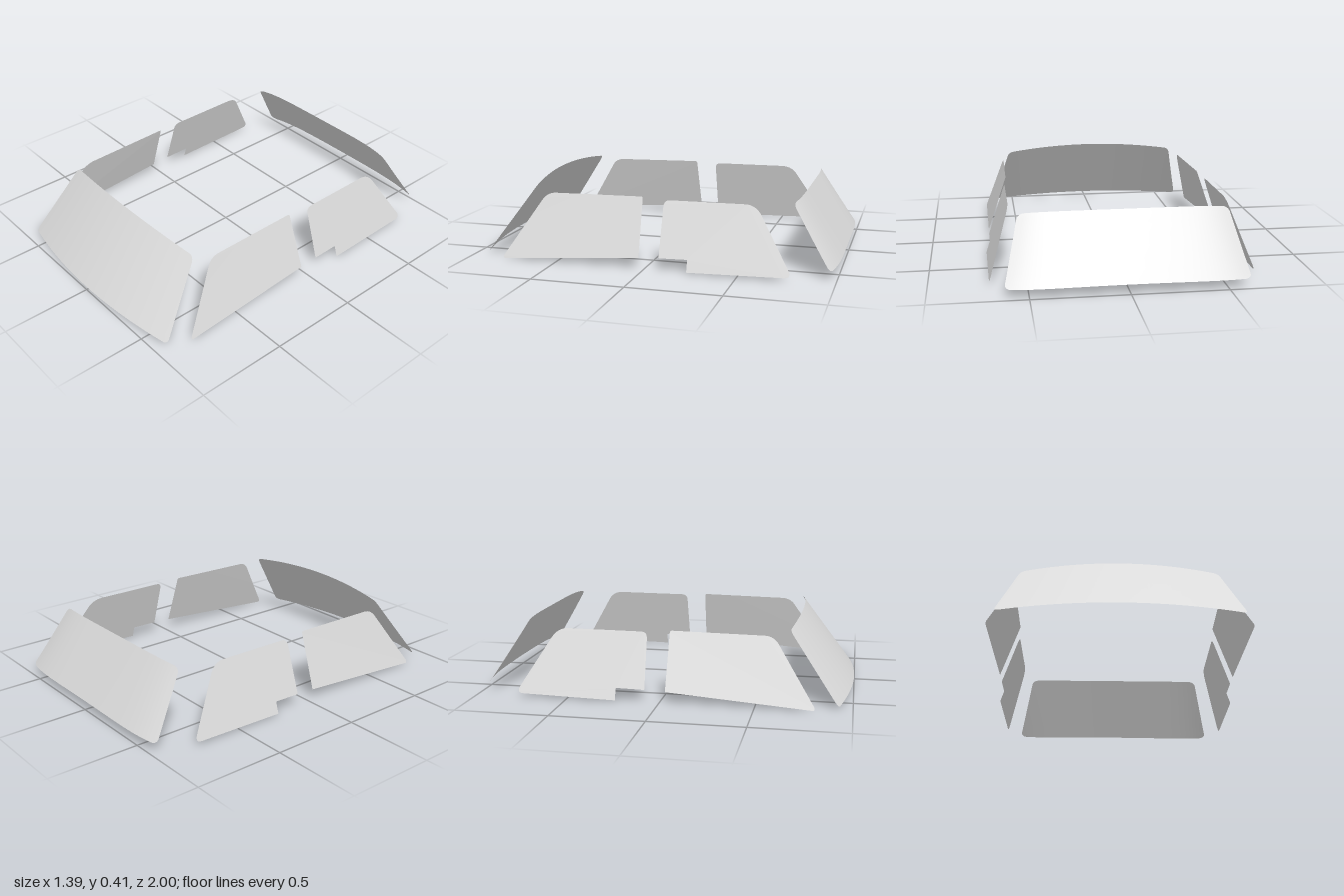
import * as THREE from 'three';

const glass = new THREE.MeshStandardMaterial({ color: 0xdcdcdc, side: THREE.DoubleSide });
glass.name = 'pale glass';

// Curved screen across the car: rows run up the glass, corners are rounded by narrowing the end rows.
// dir = 1 faces the front, -1 faces the back.
function screen(name, dir, p) {
  const rows = [0, 0.006, 0.02, 0.04, 0.07, 0.2, 0.35, 0.5, 0.65, 0.8, 0.93, 0.96, 0.98, 0.994, 1];
  const cols = 32, pos = [], idx = [];
  rows.forEach((v, j) => {
    const d = Math.min(v, 1 - v) / 0.07;
    const inset = d < 1 ? p.round * (1 - Math.sqrt(1 - (1 - d) ** 2)) : 0;
    const w = THREE.MathUtils.lerp(p.wBottom, p.wTop, v) - inset;
    for (let i = 0; i <= cols; i++) {
      const x = (i / cols * 2 - 1) * w;
      const t = Math.abs(x);
      const low = p.yBottom - p.sagBottom * (t / p.wBottom) ** 2;
      const high = p.yTop - p.sagTop * (t / p.wTop) ** p.power;
      const zLow = p.zBottom - p.bowBottom * (t / p.wBottom) ** p.power;
      const zHigh = p.zTop - p.bowTop * (t / p.wTop) ** p.power;
      pos.push(dir * x, THREE.MathUtils.lerp(low, high, v), dir * THREE.MathUtils.lerp(zLow, zHigh, v));
      if (i < cols && j < rows.length - 1) {
        const a = j * (cols + 1) + i, b = a + cols + 1;
        idx.push(a, a + 1, b + 1, a, b + 1, b);
      }
    }
  });
  const g = new THREE.BufferGeometry();
  g.setAttribute('position', new THREE.Float32BufferAttribute(pos, 3));
  g.setIndex(idx);
  g.computeVertexNormals();
  const mesh = new THREE.Mesh(g, glass);
  mesh.name = name;
  return mesh;
}

// Side pane from an outline of [z, y, corner radius], leaned inwards by xAt(z, y).
function pane(name, side, outline, xAt) {
  const pts = outline.map(([z, y]) => new THREE.Vector2(-side * z, y));
  const shape = new THREE.Shape();
  pts.forEach((p, i) => {
    const r = outline[i][2];
    const toward = q => p.clone().add(q.clone().sub(p).setLength(r));
    const a = toward(pts[(i + pts.length - 1) % pts.length]);
    const b = toward(pts[(i + 1) % pts.length]);
    if (i === 0) shape.moveTo(a.x, a.y);
    else shape.lineTo(a.x, a.y);
    if (r > 0) shape.quadraticCurveTo(p.x, p.y, b.x, b.y);
  });
  shape.closePath();
  const g = new THREE.ShapeGeometry(shape, 8);
  const pos = g.attributes.position;
  for (let i = 0; i < pos.count; i++) {
    const z = -side * pos.getX(i), y = pos.getY(i);
    pos.setXYZ(i, side * xAt(z, y), y, z);
  }
  g.computeVertexNormals();
  const mesh = new THREE.Mesh(g, glass);
  mesh.name = name;
  return mesh;
}

export function createModel() {
  const model = new THREE.Group();
  model.name = 'carWindows';

  model.add(screen('windshield', 1, {
    wBottom: 0.627, wTop: 0.525, round: 0.025, power: 2,
    yBottom: 0.027, sagBottom: 0.013, yTop: 0.42, sagTop: 0.034,
    zBottom: 1.0, bowBottom: 0.072, zTop: 0.705, bowTop: 0.04,
  }));
  model.add(screen('rearWindow', -1, {
    wBottom: 0.622, wTop: 0.54, round: 0.035, power: 5,
    yBottom: 0.058, sagBottom: 0.01, yTop: 0.385, sagTop: 0.012,
    zBottom: 1.0, bowBottom: 0.035, zTop: 0.786, bowTop: 0.025,
  }));

  const frontOutline = [
    [0.803, 0.005, 0], [0.81, 0.015, 0.008], [0.585, 0.362, 0.05],
    [0.037, 0.371, 0.012], [0.03, 0.064, 0],
  ];
  const rearOutline = [
    [-0.08, 0.07, 0.004], [-0.083, 0.362, 0.035], [-0.575, 0.365, 0.06],
    [-0.785, 0.022, 0.045], [-0.235, 0.01, 0], [-0.235, 0.073, 0.006],
  ];
  // The front pane twists slightly along its length
  const frontX = (z, y) => {
    const t = (z - 0.03) / 0.77;
    return THREE.MathUtils.lerp(0.697 - 0.343 * y, 0.677 - 0.324 * y, t);
  };
  const rearX = (z, y) => 0.698 - 0.324 * y;

  for (const [label, side] of [['left', 1], ['right', -1]]) {
    model.add(pane(label + 'FrontWindow', side, frontOutline, frontX));
    model.add(pane(label + 'RearDoorWindow', side, rearOutline, rearX));
  }
  return model;
}
